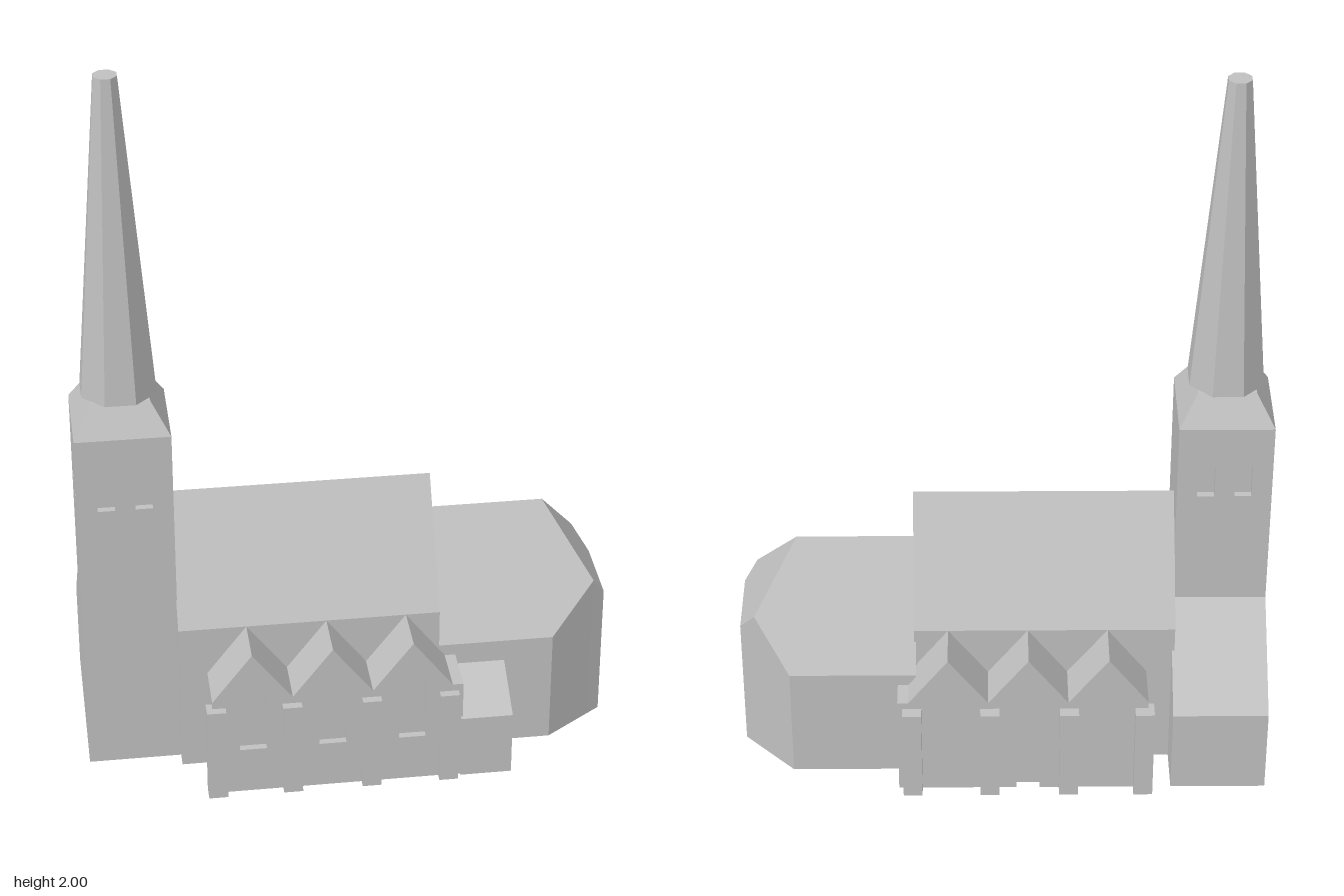
import * as THREE from 'three';

const stone = new THREE.MeshStandardMaterial({ color: 0xc0c0c0 });
stone.name = 'stone';
const RECESS = 0.02;

const shapeOf = (pts) => new THREE.Shape(pts.map(([x, y]) => new THREE.Vector2(x, y)));

// Pointed opening: centre, half width, sill, shoulder and tip heights
function lancet(u, half, sill, shoulder, tip) {
  return [[u - half, sill], [u + half, sill], [u + half, shoulder], [u, tip], [u - half, shoulder]];
}

// Extrudes an upright outline from distance d0 to d1 along the direction given by turn (about y)
function slab(name, pts, d0, d1, turn = 0, holes = []) {
  const shape = shapeOf(pts);
  for (const h of holes) shape.holes.push(shapeOf(h));
  const g = new THREE.ExtrudeGeometry(shape, { depth: d1 - d0, bevelEnabled: false });
  g.translate(0, 0, d0);
  g.rotateY(turn);
  return part(name, g);
}

function part(name, geometry) {
  const mesh = new THREE.Mesh(geometry, stone);
  mesh.name = name;
  return mesh;
}

function box(name, x0, x1, y0, y1, z0, z1) {
  const g = new THREE.BoxGeometry(x1 - x0, y1 - y0, z1 - z0);
  g.translate((x0 + x1) / 2, (y0 + y1) / 2, (z0 + z1) / 2);
  return part(name, g);
}

// Flat-faced solid from convex polygons, each fanned into triangles
function polygons(name, faces) {
  const pos = [];
  for (const f of faces) {
    for (let i = 1; i < f.length - 1; i++) pos.push(...f[0], ...f[i], ...f[i + 1]);
  }
  const g = new THREE.BufferGeometry();
  g.setAttribute('position', new THREE.Float32BufferAttribute(pos, 3));
  g.computeVertexNormals();
  return part(name, g);
}

const rect = (u0, u1, y0, y1) => [[u0, y0], [u1, y0], [u1, y1], [u0, y1]];

function createTower() {
  const g = new THREE.Group();
  g.name = 'tower';
  const x0 = -0.725, x1 = -0.47, z0 = -0.095, z1 = 0.16, top = 1.025;
  const cx = (x0 + x1) / 2, cz = (z0 + z1) / 2;
  const belfry = (c) => [-0.05, 0.05].map((o) => lancet(c + o, 0.023, 0.81, 0.905, 0.94));

  // Solid core with pierced wall slabs on three sides
  g.add(box('towerCore', x0 + RECESS, x1, 0, top, z0 + RECESS, z1 - RECESS));
  g.add(slab('towerFrontWall', rect(x0, x1, 0, top), z1 - RECESS, z1, 0, belfry(cx)));
  g.add(slab('towerBackWall', rect(-x1, -x0, 0, top), -z0 - RECESS, -z0, Math.PI, belfry(-cx)));
  g.add(slab('towerSideWall', rect(z0 + RECESS, z1 - RECESS, 0, top),
    -x0 - RECESS, -x0, -Math.PI / 2, belfry(cz)));

  // Sloped cap and eight-sided spire
  const cap = new THREE.CylinderGeometry(0.078 * Math.SQRT2, 0.1275 * Math.SQRT2, 0.085, 4).toNonIndexed();
  cap.rotateY(Math.PI / 4);
  cap.translate(cx, top + 0.0425, cz);
  cap.computeVertexNormals();
  g.add(part('towerCap', cap));

  const k = 1 / Math.cos(Math.PI / 8);
  const spire = new THREE.CylinderGeometry(0.03 * k, 0.099 * k, 0.89, 8).toNonIndexed();
  spire.rotateY(Math.PI / 8);
  spire.translate(cx, 1.555, cz);
  spire.computeVertexNormals();
  g.add(part('spire', spire));

  // Lean-to behind the tower
  g.add(slab('towerAnnex', [[0.09, 0], [0.34, 0], [0.34, 0.25], [0.095, 0.47], [0.09, 0.47]],
    x0, -0.465, Math.PI / 2));
  return g;
}

// Side aisle with three gables, side = 1 front, -1 back
function createAisle(side) {
  const g = new THREE.Group();
  g.name = side > 0 ? 'frontAisle' : 'backAisle';
  const turn = side > 0 ? 0 : Math.PI;
  const outer = side > 0 ? 0.345 : 0.34;
  const bays = [-0.288, -0.0705, 0.147], half = 0.10875;
  const roofLine = [[0.285, 0], [0.285, 0.3], [bays[2] + half, 0.3]];
  for (const x of [...bays].reverse()) roofLine.push([x, 0.443], [x - half, 0.3]);
  roofLine.push([bays[0] - half, 0]);

  // Low pointed doorway in the middle bay of the back
  const door = side > 0 ? []
    : lancet(bays[1], 0.032, 0, 0.085, 0.115).map((p) => p);
  const notch = door.length ? [door[0], door[4], door[3], door[2], door[1]] : [];

  const flip = (pts) => pts.map(([x, y]) => [x * side, y]);
  const windows = bays.map((x) => flip(lancet(x, 0.037, 0.137, 0.333, 0.388)));
  g.add(slab('aisleCore', flip(roofLine), 0.2, outer - RECESS, turn));
  g.add(slab('aisleWall', flip([...roofLine, ...notch]), outer - RECESS, outer, turn, windows));

  // Buttresses
  const reach = side > 0 ? 0.368 : 0.373;
  for (const x of [-0.387, -0.182, 0.034, 0.246]) {
    const z = [side * 0.322, side * reach].sort((a, b) => a - b);
    g.add(box('buttress', x - 0.026, x + 0.026, 0, 0.28, z[0], z[1]));
  }
  return g;
}

function createChancel() {
  const g = new THREE.Group();
  g.name = 'chancel';
  // Wall-top ring: front wall, angled corner, end wall, angled corner, back wall
  const A = [0.235, 0.333, 0.205], B = [0.556, 0.333, 0.205];
  const hipFront = [0.684, 0.449, 0.115], C = [0.72, 0.395, 0.09];
  const D = [0.72, 0.395, -0.118], hipBack = [0.676, 0.461, -0.163];
  const E = [0.58, 0.333, -0.26], F = [0.235, 0.333, -0.26];
  const ridgeStart = [0.235, 0.635, -0.03], ridgeEnd = [0.56, 0.635, -0.03];
  const ring = [A, B, hipFront, C, D, hipBack, E, F];
  const low = ([x, , z]) => [x, 0, z];

  const walls = [ring.map(low).reverse(), [F, A, ridgeStart]];
  ring.forEach((p, i) => {
    const q = ring[(i + 1) % ring.length];
    if (p !== C) walls.push([low(p), low(q), q, p]);
  });
  g.add(polygons('chancelWalls', walls));
  g.add(polygons('chancelRoof', [
    [A, B, hipFront, ridgeEnd, ridgeStart],
    [C, D, hipBack, ridgeEnd, hipFront],
    [E, F, ridgeStart, ridgeEnd, hipBack],
  ]));

  // End wall with a recessed window
  g.add(slab('chancelEndWall', rect(-0.09, 0.118, 0, 0.395), 0.72 - RECESS, 0.72, Math.PI / 2,
    [lancet(0.026, 0.037, 0.13, 0.265, 0.307)]));
  g.add(box('chancelWindowPane', 0.692, 0.72 - RECESS, 0.1, 0.33, -0.08, 0.03));
  return g;
}

export function createModel() {
  const model = new THREE.Group();
  model.name = 'church';
  model.add(createTower());

  // Nave with a steep gabled roof
  model.add(slab('nave', [[-0.205, 0], [0.205, 0], [0.205, 0.443], [0, 0.762], [-0.205, 0.443]],
    -0.472, 0.24, Math.PI / 2));
  model.add(createAisle(1), createAisle(-1), createChancel());

  // Small lean-to at the front corner of the chancel
  model.add(slab('sideRoom', [[-0.352, 0], [-0.2, 0], [-0.2, 0.272], [-0.352, 0.188]],
    0.28, 0.422, Math.PI / 2));
  return model;
}
